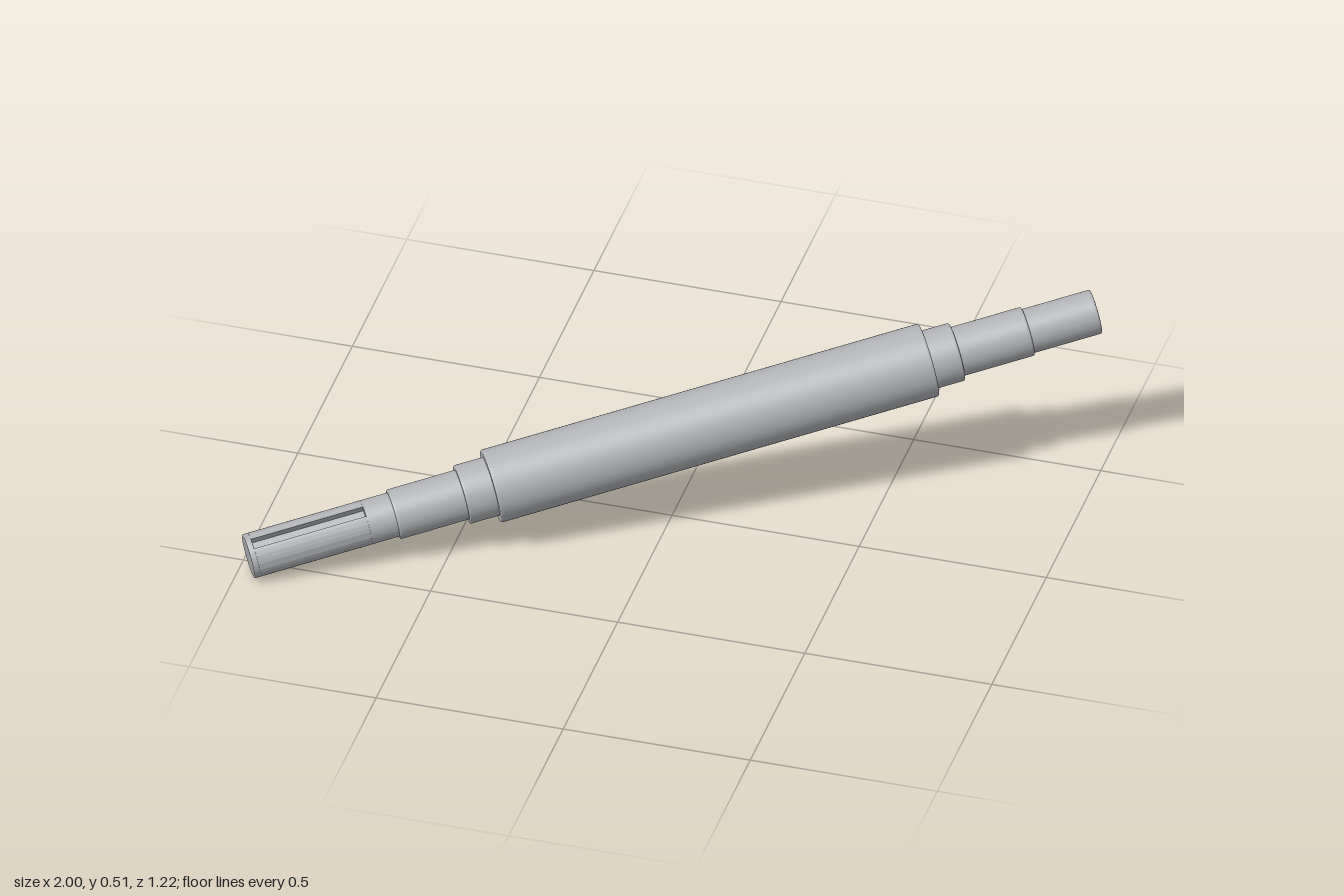
import * as THREE from 'three';
import { toCreasedNormals } from 'three/addons/utils/BufferGeometryUtils.js';

const SEGMENTS = 64;

// Solid turned section along y with softly rounded rims (f0 bottom, f1 top)
function turned(y0, y1, r, f0, f1) {
  const pts = [new THREE.Vector2(0, y0)];
  const rim = (y, f, dir) => {
    const arc = [new THREE.Vector2(r - f * 1.6, y)];
    for (let i = 0; i <= 4; i++) {
      const a = (i / 4) * Math.PI / 2;
      arc.push(new THREE.Vector2(r - f + f * Math.sin(a), y + dir * f * (1 - Math.cos(a))));
    }
    arc.push(new THREE.Vector2(r, y + dir * f * 1.6));
    return arc;
  };
  pts.push(...rim(y0, f0, 1), ...rim(y1, f1, -1).reverse(), new THREE.Vector2(0, y1));
  return new THREE.LatheGeometry(pts, SEGMENTS);
}

// Round section with a rectangular slot cut in its side
function slotted(y0, y1, r, angle, halfWidth, depth) {
  const half = Math.asin(halfWidth / r);
  const c = Math.cos(angle), s = Math.sin(angle);
  const floor = r - depth;
  const shape = new THREE.Shape();
  shape.absarc(0, 0, r, angle + half, angle - half + Math.PI * 2, false);
  shape.lineTo(c * floor + s * halfWidth, s * floor - c * halfWidth);
  shape.lineTo(c * floor - s * halfWidth, s * floor + c * halfWidth);
  shape.closePath();
  const geo = new THREE.ExtrudeGeometry(shape, { depth: y1 - y0, bevelEnabled: false, curveSegments: SEGMENTS });
  geo.rotateX(-Math.PI / 2);
  geo.translate(0, y0, 0);
  return toCreasedNormals(geo, 0.5);
}

export function createModel() {
  const model = new THREE.Group();
  model.name = 'steppedShaft';
  const steel = new THREE.MeshStandardMaterial({ color: 0xb2b4b8 });
  steel.name = 'steel grey';

  const shaft = new THREE.Group();
  shaft.name = 'shaft';
  model.add(shaft);
  const add = (name, geo) => {
    const mesh = new THREE.Mesh(geo, steel);
    mesh.name = name;
    shaft.add(mesh);
  };

  // Turned steps; each smaller one runs on into its larger neighbour
  const f = 0.005, none = 0.0005;
  const R = 0.0585;
  const sections = [
    ['mainBody', -0.487, 0.688, 0.097, f, f],
    ['lowerCollar', -0.565, -0.40, 0.078, f, none],
    ['lowerBearingSeat', -0.749, -0.50, 0.066, f, none],
    ['upperCollar', 0.60, 0.764, 0.077, none, f],
    ['upperBearingSeat', 0.70, 0.954, 0.065, none, f],
    ['upperEnd', 0.90, 1.137, R, none, f],
    // Plain parts on either side of the keyway
    ['lowerEndTip', -1.137, -1.122, R, 0.003, none],
    ['lowerEndNeck', -0.822, -0.70, R, none, none],
  ];
  for (const [name, y0, y1, r, f0, f1] of sections) add(name, turned(y0, y1, r, f0, f1));

  // Keyway on the upper side of the lower end
  add('keywaySection', slotted(-1.122, -0.822, R, THREE.MathUtils.degToRad(204), 0.0145, 0.022));

  // Lay the shaft along its tilted axis: 30 degrees turned, 10 degrees raised
  const yaw = Math.PI / 6, pitch = Math.PI / 18;
  const along = new THREE.Vector3(
    Math.cos(pitch) * Math.cos(yaw), Math.sin(pitch), -Math.cos(pitch) * Math.sin(yaw));
  const side = new THREE.Vector3(Math.sin(yaw), 0, Math.cos(yaw));
  const down = new THREE.Vector3().crossVectors(along, side);
  shaft.quaternion.setFromRotationMatrix(new THREE.Matrix4().makeBasis(down, along, side));
  shaft.position.y = 1.137 * Math.sin(pitch) + R * Math.cos(pitch);
  return model;
}
